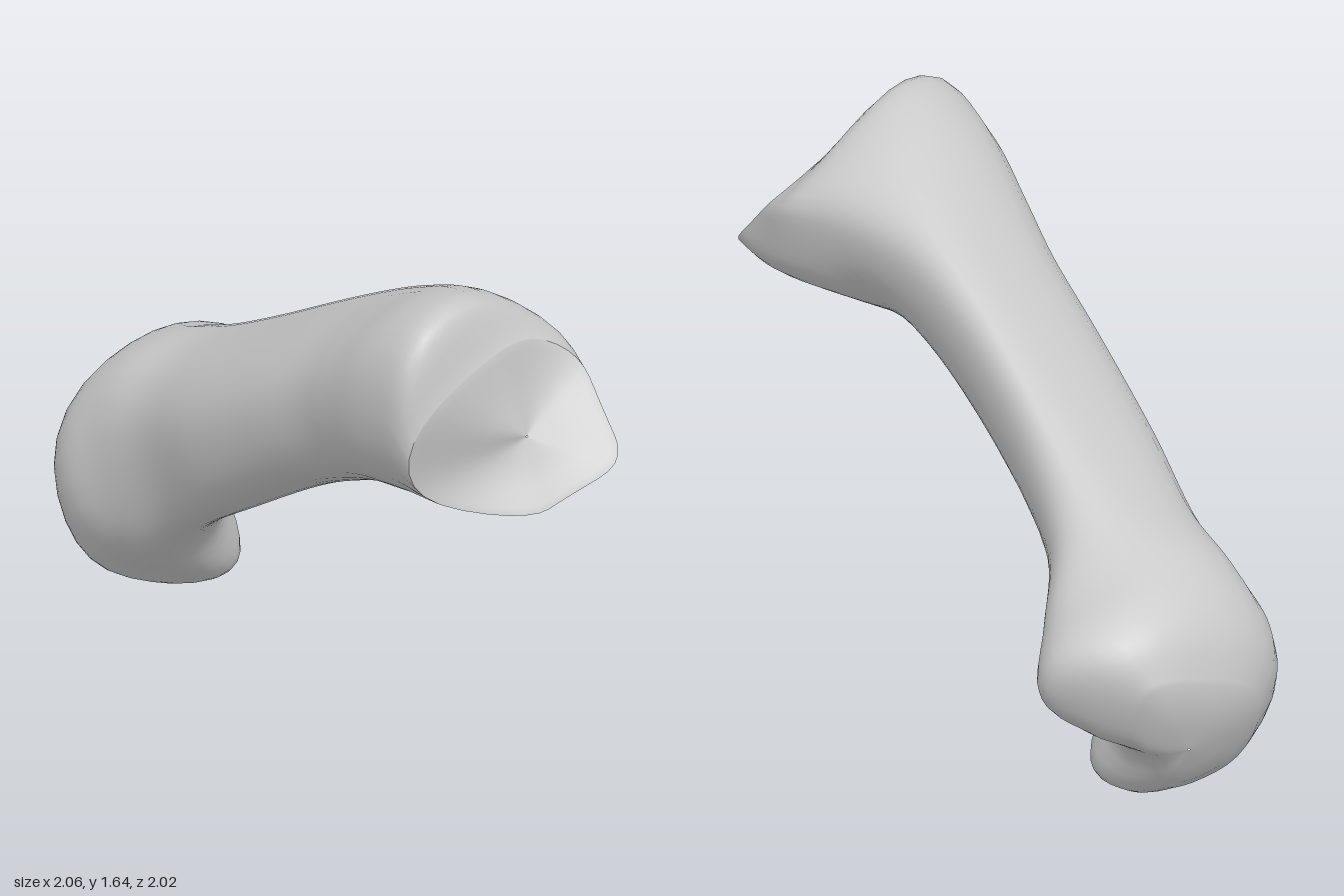
import * as THREE from 'three';

// Local frame of the bone: d runs along the shaft, s sideways, n upwards.
const ORIGIN = new THREE.Vector3(0, 1, 0.19);
const D = new THREE.Vector3(0.64, 0.42, 0.64).normalize();
const S = new THREE.Vector3(1, 0, -1).normalize();
const N = new THREE.Vector3().crossVectors(D, S);

// Each section is a rounded hexagon whose six sides face these angles.
const ANGLES = [0, 67, 113, 180, 247, 293].map(THREE.MathUtils.degToRad);

// position along shaft, tilt, saddle twist, groove depth (negative bulges), then the six side distances
const STATIONS = [
  [-1.42, 0, 0, 0.05, 0.34, 0.27, 0.08, 0.14, 0.33, 0.38],
  [-1.32, 0, 0, 0.14, 0.47, 0.37, 0.18, 0.25, 0.43, 0.51],
  [-1.19, 0, 0, 0.24, 0.56, 0.395, 0.24, 0.28, 0.42, 0.535],
  [-1.00, 0, 0, 0.17, 0.46, 0.355, 0.255, 0.25, 0.40, 0.37],
  [-0.75, 0, 0, 0.02, 0.325, 0.335, 0.22, 0.235, 0.345, 0.27],
  [-0.40, 0, 0, -0.02, 0.265, 0.335, 0.22, 0.265, 0.305, 0.24],
  [0.00, 0, 0, -0.03, 0.26, 0.35, 0.235, 0.265, 0.265, 0.22],
  [0.30, 0.05, 0, -0.03, 0.29, 0.36, 0.245, 0.26, 0.265, 0.235],
  [0.50, 0.15, -0.1, -0.03, 0.345, 0.355, 0.26, 0.275, 0.28, 0.28],
  [0.70, 0.35, -0.5, -0.07, 0.42, 0.33, 0.275, 0.29, 0.31, 0.355],
  [0.88, 0.40, -1.2, -0.11, 0.475, 0.275, 0.22, 0.275, 0.345, 0.44],
  [0.97, 0.25, -1.6, -0.12, 0.465, 0.19, 0.02, 0.235, 0.38, 0.50],
];
const STEPS = 5; // rings between stations
const CURVE = 5; // points per curve piece

// Rounded outline: a quadratic B-spline that touches every side of the hexagon
function outline(station) {
  const [, , , groove, ...h] = station;
  const corners = ANGLES.map((a, i) => {
    const j = (i + 1) % 6, b = ANGLES[j], det = Math.sin(b - a);
    return new THREE.Vector2(
      (h[i] * Math.sin(b) - h[j] * Math.sin(a)) / det,
      (h[j] * Math.cos(a) - h[i] * Math.cos(b)) / det);
  });
  const center = corners.reduce((c, p) => c.add(p), new THREE.Vector2()).divideScalar(6);
  // The last corner is split in two, with the groove between both knuckles
  const p = corners[5];
  const before = p.clone().lerp(corners[4], 0.62);
  const after = p.clone().lerp(corners[0], 0.45);
  const mid = before.clone().lerp(after, 0.5);
  mid.addScaledVector(center.clone().sub(mid).normalize(), groove);
  const ctrl = [...corners.slice(0, 5), before, mid, after];
  const points = [];
  ctrl.forEach((c, i) => {
    const a = ctrl[(i + ctrl.length - 1) % ctrl.length].clone().lerp(c, 0.5);
    const b = c.clone().lerp(ctrl[(i + 1) % ctrl.length], 0.5);
    const piece = new THREE.QuadraticBezierCurve(a, c, b);
    for (let k = 0; k < CURVE; k++) points.push(piece.getPoint(k / CURVE));
  });
  return points;
}

const place = (s, n, t) => ORIGIN.clone().addScaledVector(S, s).addScaledVector(N, n).addScaledVector(D, t);

// Outline placed in space; tilt leans it, twist bends it into a saddle
function ring(station) {
  const [t, tilt, twist] = station;
  return outline(station).map((p) => place(p.x, p.y, t + tilt * p.y + twist * (p.x - 0.1) * (p.y + 0.17)));
}

// Smooth blend of the station values
function blend(i, f) {
  const at = (k) => STATIONS[THREE.MathUtils.clamp(k, 0, STATIONS.length - 1)];
  return STATIONS[i].map((v, c) => {
    const a = at(i - 1)[c], b = at(i + 1)[c], e = at(i + 2)[c];
    return v + 0.5 * f * (b - a + f * (2 * a - 5 * v + 4 * b - e + f * (3 * (v - b) + e - a)));
  });
}

// Copy of a ring shrunk towards its middle and shifted along the shaft
function shrink(r, scale, shift) {
  const c = r.reduce((sum, p) => sum.add(p), new THREE.Vector3()).divideScalar(r.length);
  return r.map((p) => c.clone().lerp(p, scale).addScaledVector(D, shift));
}

function loft(rings, name, material) {
  const m = rings[0].length, index = [];
  for (let i = 0; i < rings.length - 1; i++) {
    for (let j = 0; j < m; j++) {
      const a = i * m + j, b = i * m + (j + 1) % m;
      index.push(a, b, b + m, a, b + m, a + m);
    }
  }
  const geometry = new THREE.BufferGeometry().setFromPoints(rings.flat());
  geometry.setIndex(index);
  geometry.computeVertexNormals();
  const mesh = new THREE.Mesh(geometry, material);
  mesh.name = name;
  return mesh;
}

export function createModel() {
  const material = new THREE.MeshStandardMaterial({ color: 0xcccccc, side: THREE.DoubleSide });
  const rings = [];
  for (let i = 0; i < STATIONS.length - 1; i++) {
    for (let k = 0; k < STEPS; k++) rings.push(ring(blend(i, k / STEPS)));
  }
  const rim = ring(STATIONS[STATIONS.length - 1]);
  rings.push(rim);

  // Rounded closing of the knuckle end
  const first = rings[0];
  rings.unshift(shrink(first, 0.02, -0.05), shrink(first, 0.4, -0.045), shrink(first, 0.75, -0.03));

  // Slightly hollow joint face at the wide end
  const face = [rim, shrink(rim, 0.9, 0), shrink(rim, 0.65, -0.015), shrink(rim, 0.35, -0.02), shrink(rim, 0.01, -0.02)];

  const bone = new THREE.Group();
  bone.name = 'bone';
  bone.add(loft(rings, 'shaftAndKnuckles', material), loft(face, 'jointFace', material));
  return bone;
}
